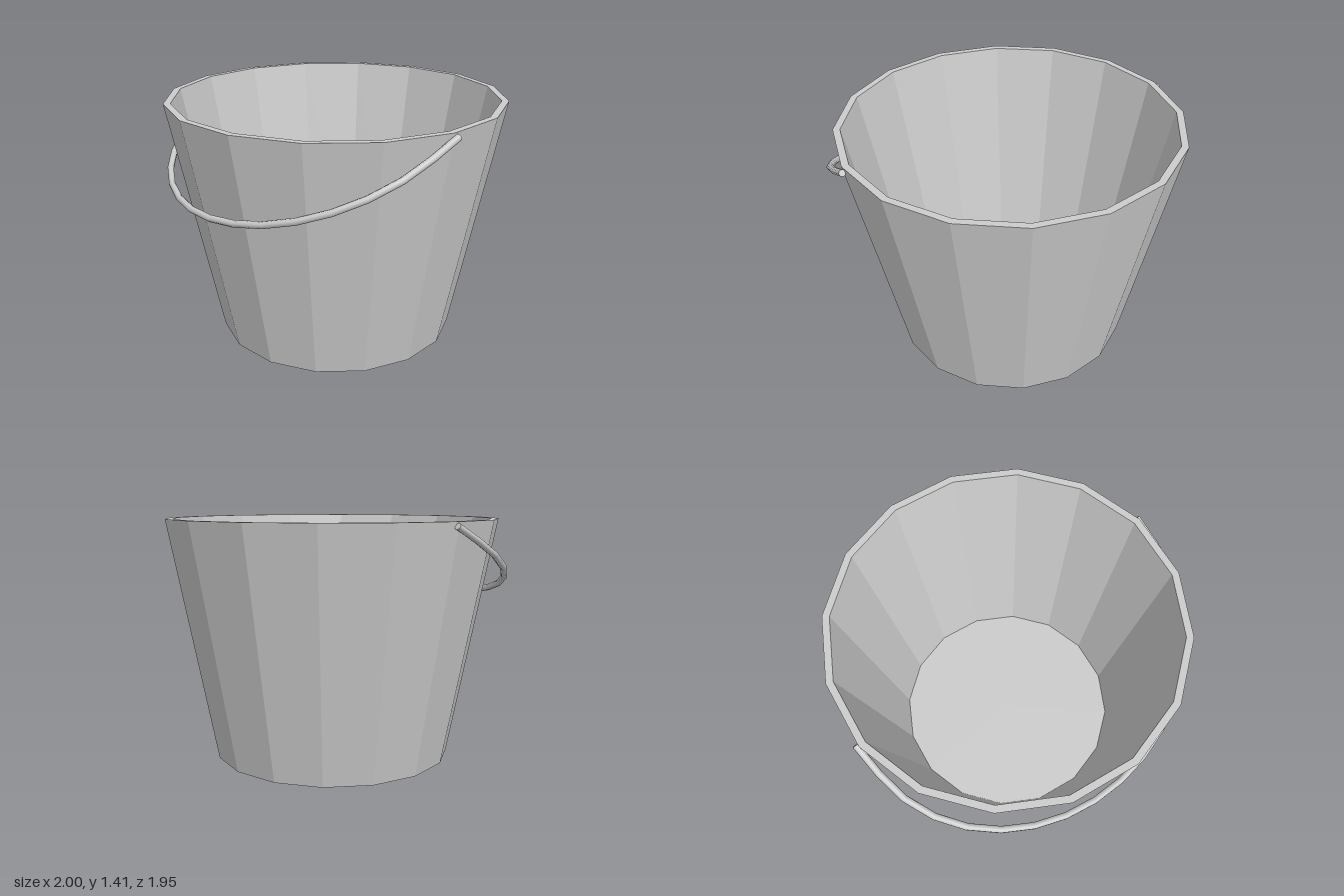
import * as THREE from 'three';

const SIDES = 16;

export function createModel() {
  const group = new THREE.Group();
  const add = (name, geometry, material) => {
    const mesh = new THREE.Mesh(geometry, material);
    mesh.name = name;
    group.add(mesh);
    return mesh;
  };
  const flat = new THREE.MeshStandardMaterial({ color: 0xcccccc, flatShading: true });
  const smooth = new THREE.MeshStandardMaterial({ color: 0xcccccc });

  // Pail: one closed profile for underside, outer wall, rim, inner wall and floor
  const profile = [[0, 0], [0.705, 0], [0.975, 1.41], [0.935, 1.41], [0.675, 0.045], [0, 0.045]]
    .map(([r, y]) => new THREE.Vector2(r, y));
  add('pail', new THREE.LatheGeometry(profile, SIDES), flat);

  // Handle: a tilted wire arc with short straight ends, hanging over the front
  const wire = 0.019;
  const place = (x, depth) => new THREE.Vector3(x, 1.385 - 0.465 * depth, -0.02 + 0.965 * depth);
  const points = [place(0.981, -0.005)];
  for (let i = 0; i <= SIDES; i++) {
    const a = (i / SIDES) * Math.PI;
    points.push(place(0.981 * Math.cos(a), 0.18 + 0.82 * Math.sin(a)));
  }
  points.push(place(-0.981, -0.005));
  const arc = new THREE.CatmullRomCurve3(points);
  add('handle', new THREE.TubeGeometry(arc, 18, wire, 8), smooth);

  // Closed wire ends
  for (const t of [0, 1]) {
    const out = arc.getTangentAt(t).multiplyScalar(t ? 1 : -1);
    const cap = add('handleEnd', new THREE.CircleGeometry(wire, 8), smooth);
    cap.position.copy(arc.getPointAt(t));
    cap.quaternion.setFromUnitVectors(new THREE.Vector3(0, 0, 1), out);
  }
  return group;
}
